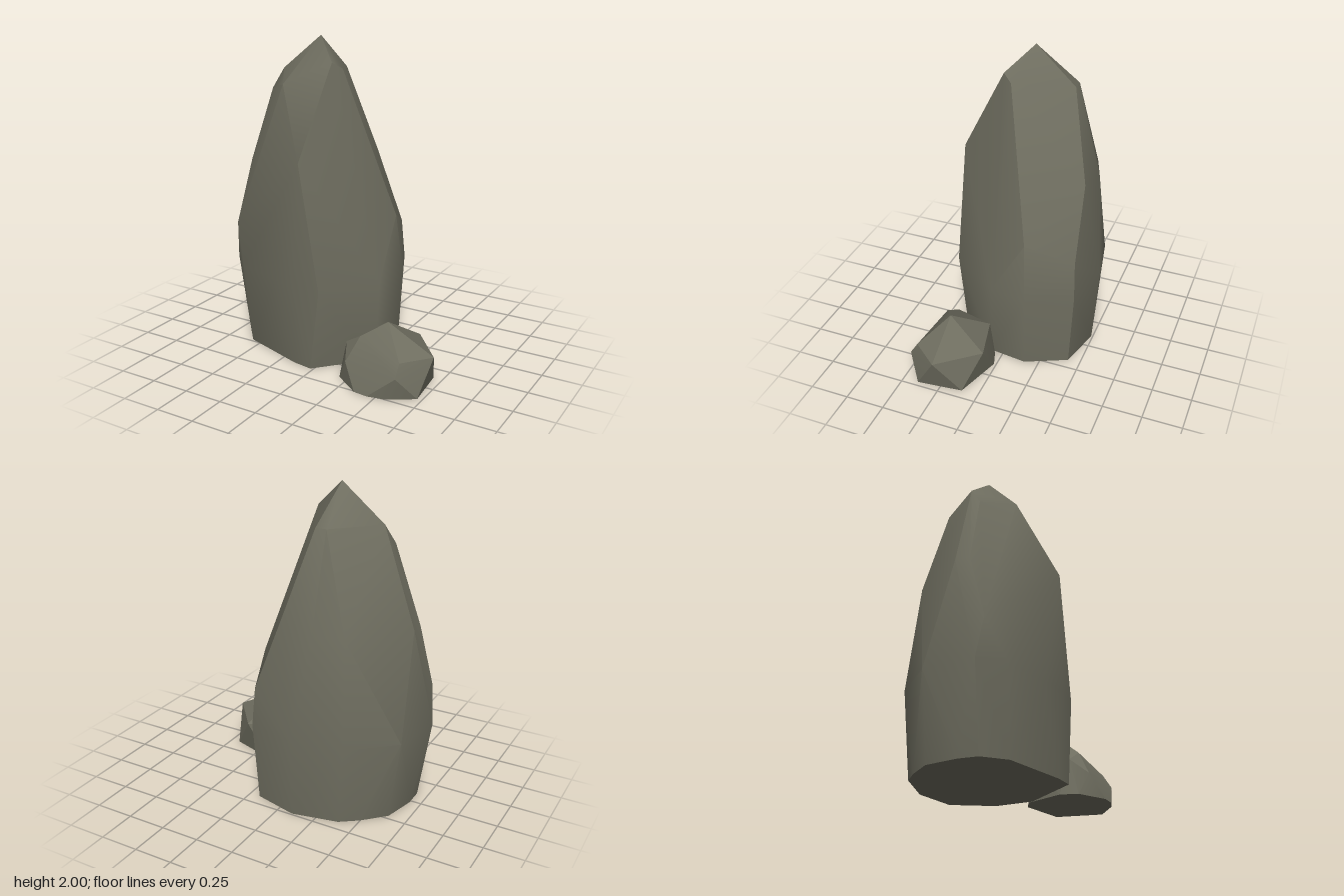
import * as THREE from 'three';
import { toCreasedNormals } from 'three/addons/utils/BufferGeometryUtils.js';
import { ConvexGeometry } from 'three/addons/geometries/ConvexGeometry.js';

const stone = new THREE.MeshStandardMaterial({ color: 0x6e6d5f });
stone.name = 'mossy grey stone';

// One horizontal slice of corners: [x, z] pairs at height y
const slice = (y, pairs) => pairs.map(([x, z]) => new THREE.Vector3(x, y, z));

// A chiselled rock: the hull of its corners, with soft shallow edges
function rock(name, slices, crease) {
  const geometry = toCreasedNormals(new ConvexGeometry(slices.flat()), crease);
  const mesh = new THREE.Mesh(geometry, stone);
  mesh.name = name;
  return mesh;
}

export function createModel() {
  const group = new THREE.Group();
  group.name = 'standingStones';

  // Tall stone: base, belly, shoulders, crown and peak
  group.add(rock('tallStone', [
    slice(0, [[-0.68, 0.1], [-0.68, -0.02], [-0.63, -0.22], [-0.5, -0.35], [-0.39, -0.43],
      [-0.1, -0.49], [0.18, -0.42], [0.3, -0.16], [0.27, 0.08], [-0.02, 0.39], [-0.15, 0.37], [-0.57, 0.23]]),
    slice(0.52, [[-0.76, 0.1], [-0.7, -0.23], [-0.43, -0.46], [-0.11, -0.52], [0.2, -0.45],
      [0.33, -0.17], [0.29, 0.07], [0.05, 0.4], [-0.13, 0.4], [-0.3, 0.35], [-0.62, 0.24]]),
    slice(0.77, [[-0.73, 0.14], [0.18, -0.44]]),
    slice(0.9, [[0.285, -0.15]]),
    slice(1.18, [[-0.68, 0.03], [-0.68, -0.06], [-0.4, -0.39], [-0.22, -0.455]]),
    slice(1.23, [[0, -0.43]]),
    slice(1.3, [[-0.09, 0.39]]),
    slice(1.66, [[-0.51, 0.02]]),
    slice(1.72, [[-0.32, 0.19]]),
    slice(1.78, [[-0.47, -0.05], [-0.23, -0.3], [-0.16, -0.3]]),
    slice(1.82, [[0.01, 0.04]]),
    slice(1.86, [[-0.03, 0.1]]),
    slice(2, [[-0.19, -0.04]]),
  ], 0.65));

  // Small boulder at its foot
  group.add(rock('smallBoulder', [
    slice(0, [[0.72, 0.4], [0.69, 0.11], [0.55, 0.5], [0.45, 0.52], [0.36, 0.51], [0.19, 0.39],
      [0.17, 0.28], [0.29, 0.05], [0.39, 0.015]]),
    slice(0.14, [[0.62, 0.49], [0.26, 0.44]]),
    slice(0.22, [[0.76, 0.27], [0.62, 0.44], [0.21, 0.335], [0.27, 0.09], [0.55, 0.02]]),
    slice(0.29, [[0.32, 0.365]]),
    slice(0.38, [[0.46, 0.275]]),
  ], 0.45));

  return group;
}
